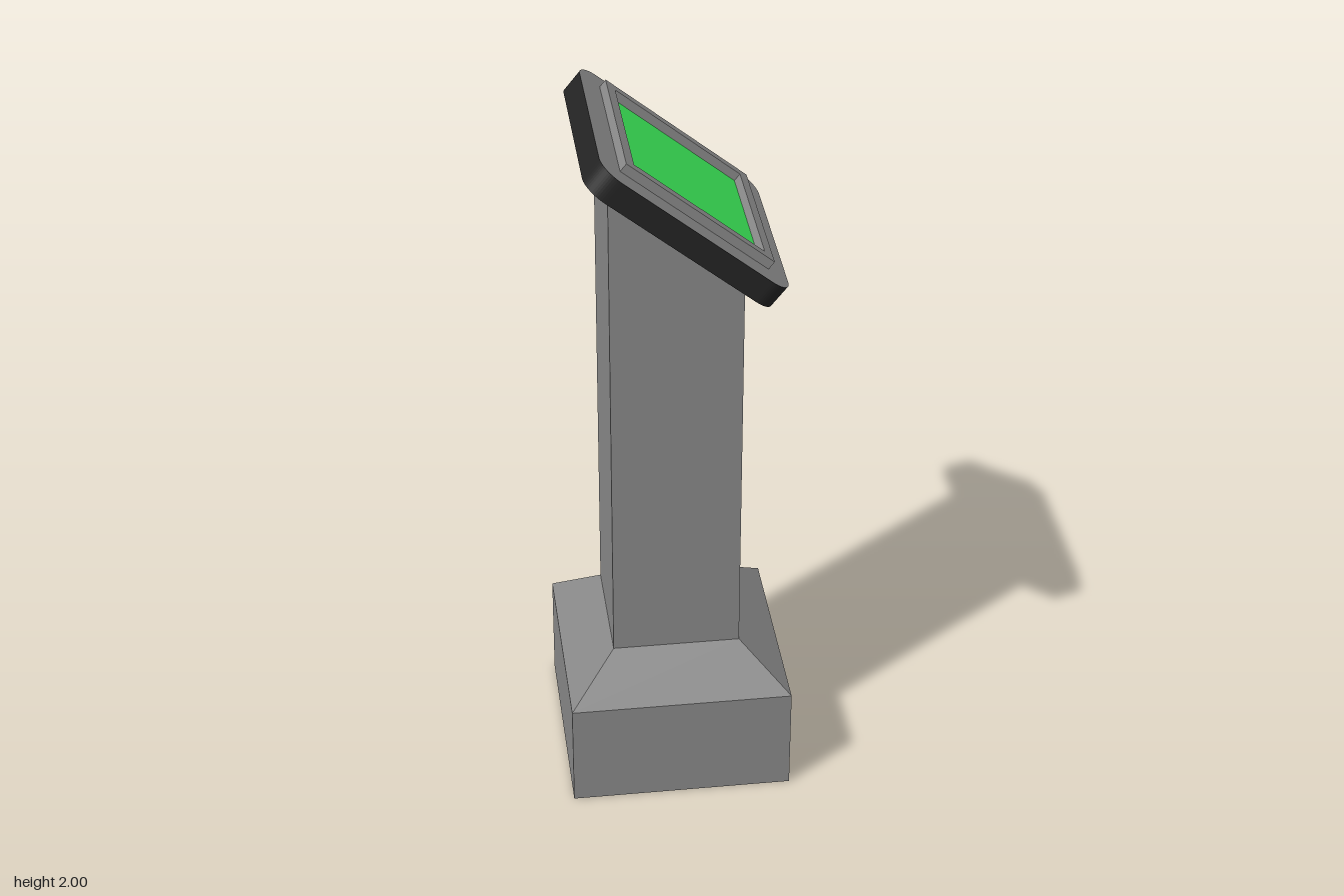
import * as THREE from 'three';

const grey = new THREE.MeshStandardMaterial({ color: 0x888888, flatShading: true });
const black = new THREE.MeshStandardMaterial({ color: 0x232323 });
const green = new THREE.MeshStandardMaterial({ color: 0x3be657 });

const BASE = 0.62;        // width of the base and of the panel
const COLUMN = 0.356;     // width of the column
const TILT = 0.677;       // panel slope, falling towards +x
const SLAB = 0.069;       // panel thickness
const BEZEL = 0.026;      // height of the screen frame

function add(parent, name, geometry, material) {
  const mesh = new THREE.Mesh(geometry, material);
  mesh.name = name;
  parent.add(mesh);
  return mesh;
}

// Square outline centred on the origin, with optional rounded corners
function square(size, r = 0, Type = THREE.Shape) {
  const h = size / 2, s = new Type();
  if (!r) {
    return s.moveTo(-h, -h).lineTo(h, -h).lineTo(h, h).lineTo(-h, h).closePath();
  }
  s.absarc(h - r, h - r, r, 0, Math.PI / 2);
  s.absarc(r - h, h - r, r, Math.PI / 2, Math.PI);
  s.absarc(r - h, r - h, r, Math.PI, Math.PI * 1.5);
  s.absarc(h - r, r - h, r, Math.PI * 1.5, Math.PI * 2);
  return s.closePath();
}

// Extrudes an outline upwards along y
function slab(shape, depth) {
  return new THREE.ExtrudeGeometry(shape, { depth, bevelEnabled: false, curveSegments: 8 })
    .rotateX(-Math.PI / 2);
}

export function createModel() {
  const model = new THREE.Group();
  model.name = 'consoleStand';

  // Square plinth and its sloping shoulder
  add(model, 'plinth', new THREE.BoxGeometry(BASE, 0.31, BASE), grey).position.y = 0.155;
  const shoulder = new THREE.CylinderGeometry(
    COLUMN * Math.SQRT1_2, BASE * Math.SQRT1_2, 0.115, 4, 1, true).rotateY(Math.PI / 4);
  add(model, 'shoulder', shoulder, grey).position.y = 0.3675;

  // Column with a slanted top that meets the panel
  const c = COLUMN / 2;
  const side = new THREE.Shape()
    .moveTo(-c, 0.425).lineTo(c, 0.425).lineTo(c, 1.61).lineTo(-c, 1.896).closePath();
  const column = new THREE.ExtrudeGeometry(side, { depth: COLUMN, bevelEnabled: false });
  add(model, 'column', column.translate(0, 0, -c), grey);

  // Tilted panel: local y is the panel's normal
  const panel = new THREE.Group();
  panel.name = 'panel';
  panel.position.set(-0.006, 1.753, 0);
  panel.rotation.z = -TILT;
  model.add(panel);

  const outline = square(BASE, 0.065);
  add(panel, 'panelBody', slab(outline, SLAB), black);
  const face = new THREE.ShapeGeometry(outline, 8).rotateX(-Math.PI / 2);
  add(panel, 'panelFace', face, grey).position.y = SLAB + 0.0005;

  // Raised frame around the recessed screen
  const frame = square(0.487);
  frame.holes.push(square(0.43, 0, THREE.Path));
  add(panel, 'screenFrame', slab(frame, BEZEL), grey).position.y = SLAB;
  const screen = new THREE.PlaneGeometry(0.43, 0.43).rotateX(-Math.PI / 2);
  add(panel, 'screen', screen, green).position.y = SLAB + 0.002;

  return model;
}
